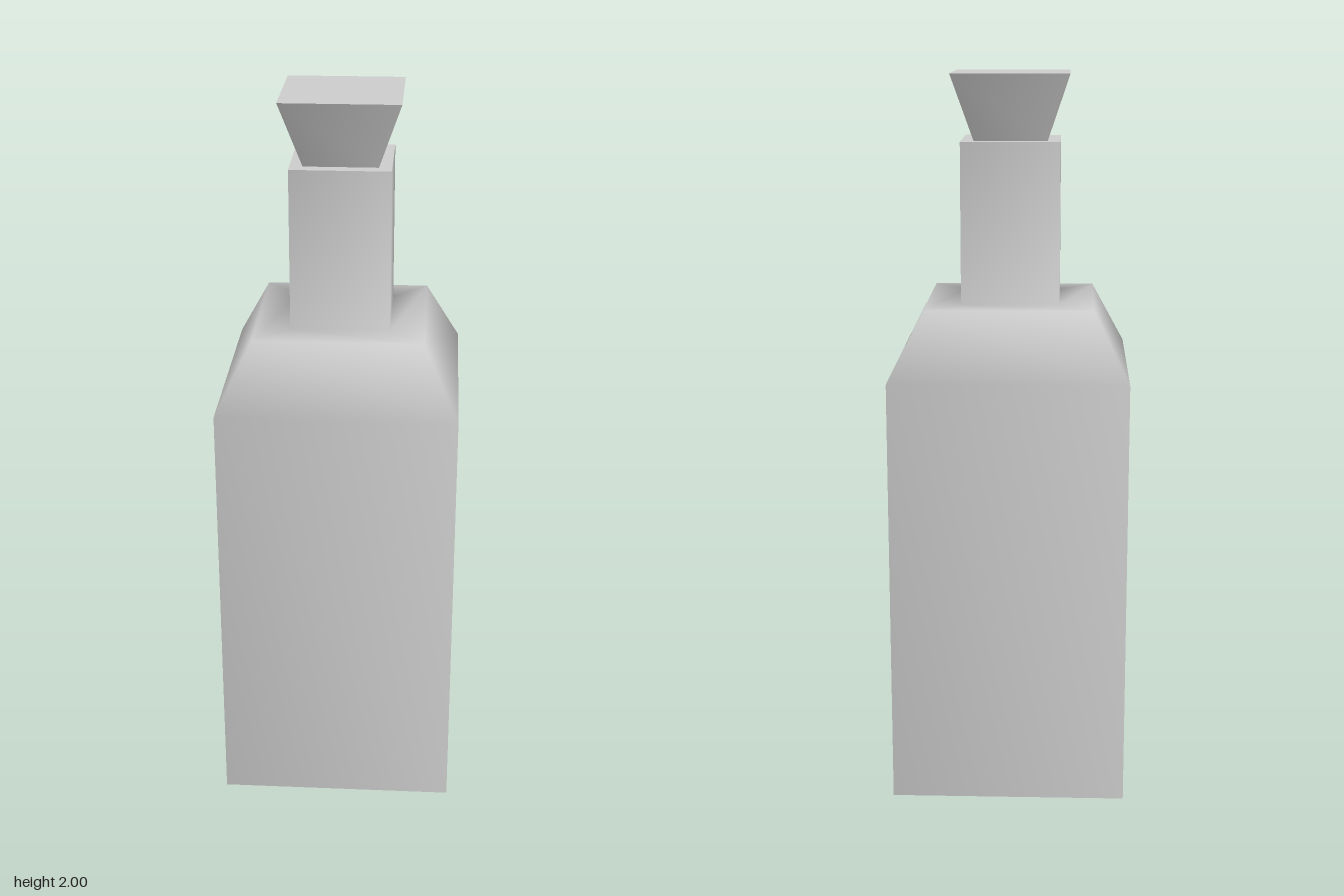
import * as THREE from 'three';

const material = new THREE.MeshStandardMaterial({ color: 0xcccccc });

// Square-section turned part; each profile point is [half width, height].
function squareLathe(name, profile) {
  const points = profile.map(([w, y]) => new THREE.Vector2(w * Math.SQRT2, y));
  const mesh = new THREE.Mesh(new THREE.LatheGeometry(points, 4, Math.PI / 4), material);
  mesh.name = name;
  return mesh;
}

export function createModel() {
  const model = new THREE.Group();
  model.name = 'squareBottle';

  const glass = new THREE.Group();
  glass.name = 'bottle';
  glass.add(
    // Flat base
    squareLathe('base', [[0, 0], [0.325, 0]]),
    // Body, shoulder and neck share smooth normals
    squareLathe('bodyAndNeck', [
      [0.325, 0], [0.325, 1.195], [0.23, 1.38], [0.135, 1.38], [0.135, 1.82],
    ]),
    // Flat rim at the mouth
    squareLathe('neckRim', [[0.135, 1.82], [0, 1.82]]),
  );

  // Flared stopper with a flat top
  const stopper = new THREE.Group();
  stopper.name = 'stopper';
  stopper.add(
    squareLathe('stopperSides', [[0.1, 1.82], [0.16, 2]]),
    squareLathe('stopperTop', [[0.16, 2], [0, 2]]),
  );

  model.add(glass, stopper);
  return model;
}
